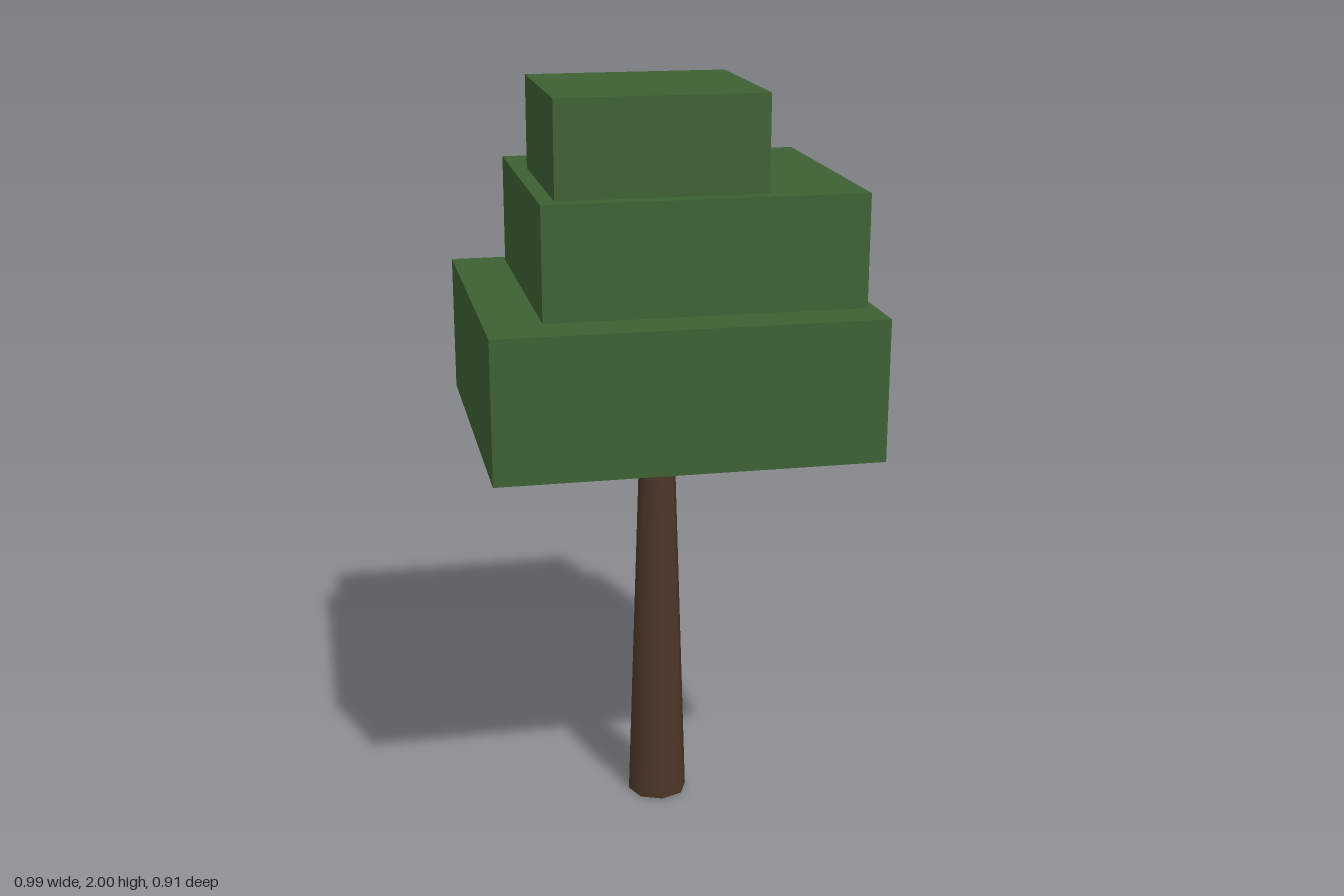
import * as THREE from 'three';

export function createModel() {
  const tree = new THREE.Group();
  tree.name = 'tree';
  const bark = new THREE.MeshStandardMaterial({ color: 0x4d3728 });
  const leaves = new THREE.MeshStandardMaterial({ color: 0x3d6133 });

  const add = (name, geometry, material) => {
    const mesh = new THREE.Mesh(geometry, material);
    mesh.name = name;
    tree.add(mesh);
    return mesh;
  };

  // Tapered eight-sided trunk
  add('trunk', new THREE.CylinderGeometry(0.05, 0.082, 0.99, 8), bark).position.y = 0.495;

  // Stacked foliage blocks, given by their lower and upper corners
  const block = (name, min, max) => {
    const box = new THREE.Box3(new THREE.Vector3(...min), new THREE.Vector3(...max));
    const size = box.getSize(new THREE.Vector3());
    box.getCenter(add(name, new THREE.BoxGeometry(size.x, size.y, size.z), leaves).position);
  };
  block('lowerFoliage', [-0.495, 1.097, -0.453], [0.495, 1.465, 0.453]);
  block('middleFoliage', [-0.35, 1.465, -0.412], [0.472, 1.755, 0.33]);
  block('upperFoliage', [-0.31, 1.755, -0.205], [0.225, 2, 0.287]);

  // Thin branches running from their drooping tips up into the foliage
  const branch = (name, tip, root) => {
    const a = new THREE.Vector3(...tip);
    const b = new THREE.Vector3(...root);
    const mesh = add(name, new THREE.CylinderGeometry(0.019, 0.015, a.distanceTo(b), 6), bark);
    mesh.position.lerpVectors(a, b, 0.5);
    mesh.quaternion.setFromUnitVectors(new THREE.Vector3(0, 1, 0), b.sub(a).normalize());
  };
  branch('rightBranch', [-0.334, 0.96, 0], [0.08, 1.142, 0]);
  branch('leftBranch', [0.336, 1.055, 0.042], [0, 1.178, 0.042]);

  return tree;
}
